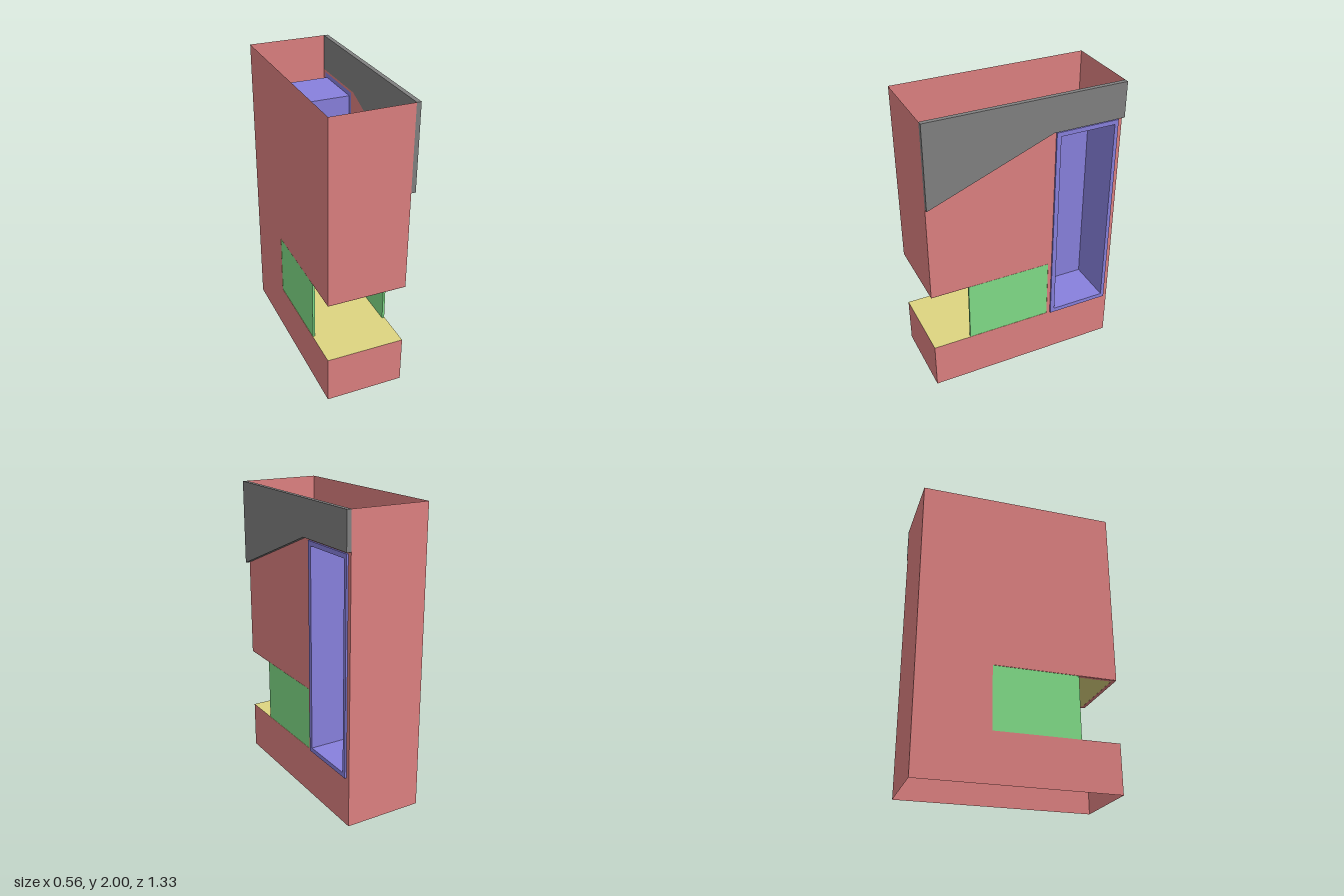
import * as THREE from 'three';

const mat = (color) => new THREE.MeshStandardMaterial({ color, side: THREE.DoubleSide });
const RED = mat(0xdd8080), YELLOW = mat(0xddd580), GREEN = mat(0x80dd88), BLUE = mat(0x8880dd), GREY = mat(0x808080);

// Main dimensions
const L = 0.25, R = -0.28, F = 0.665, B = -0.665, TOP = 2;
const W = L - R, CX = (L + R) / 2;
const NICHE = { z: -0.175, y0: 0.33, y1: 0.76 };
const LIP = 0.025;

export function createModel() {
  const model = new THREE.Group();

  const add = (name, geometry, material, x = 0, y = 0, z = 0) => {
    const mesh = new THREE.Mesh(geometry, material);
    mesh.name = name;
    mesh.position.set(x, y, z);
    model.add(mesh);
    return mesh;
  };
  const points = (list, flip = -1) => list.map(([a, b]) => new THREE.Vector2(flip * a, b));
  const rect = (z0, y0, z1, y1) => [[z0, y0], [z1, y0], [z1, y1], [z0, y1]];
  // Outlines given as (z, y), turned to face +x; a depth makes them solid
  const sideGeometry = (outline, hole, depth = 0) => {
    const shape = new THREE.Shape(points(outline));
    if (hole) shape.holes.push(new THREE.Path(points(hole)));
    const g = depth
      ? new THREE.ExtrudeGeometry(shape, { depth, bevelEnabled: false })
      : new THREE.ShapeGeometry(shape);
    return g.rotateY(Math.PI / 2);
  };
  const plane = (w, h) => new THREE.PlaneGeometry(w, h);
  const level = (w, d) => new THREE.PlaneGeometry(w, d).rotateX(-Math.PI / 2);

  // Cabinet shell: thin sheet walls, open at top and bottom
  const notch = [[F, NICHE.y0], [NICHE.z, NICHE.y0], [NICHE.z, NICHE.y1], [F, NICHE.y1]];
  const doorHole = rect(-0.61, 0.36, -0.23, 1.715);
  add('leftWall', sideGeometry([[F, 0], ...notch, [F, 1.43], [-0.17, 1.76], [B, 1.76], [B, 0]], doorHole), RED, L);
  add('rightWall', sideGeometry([[F, 0], ...notch, [F, TOP], [B, TOP], [B, 0]]), RED, R);
  add('backWall', plane(W, TOP).rotateY(Math.PI), RED, CX, TOP / 2, B);
  add('frontLowerWall', plane(W, NICHE.y0), RED, CX, NICHE.y0 / 2, F);
  add('frontUpperWall', plane(W, TOP - NICHE.y1), RED, CX, (TOP + NICHE.y1) / 2, F);

  // Serving niche: floor, back and ceiling
  const depth = F - NICHE.z, midZ = (F + NICHE.z) / 2;
  add('nicheFloor', level(W, depth), YELLOW, CX, NICHE.y0, midZ);
  add('nicheBack', plane(W, NICHE.y1 - NICHE.y0), YELLOW, CX, (NICHE.y0 + NICHE.y1) / 2, NICHE.z);
  add('nicheCeiling', level(W - 2 * LIP, depth - LIP), YELLOW, CX, NICHE.y1, midZ - LIP / 2);

  // Turned-in lip around the upper edge of the niche
  const lipY = NICHE.y1 - 0.001;
  add('frontLip', level(W, LIP), RED, CX, lipY, F - LIP / 2);
  for (const x of [R + LIP / 2, L - LIP / 2]) {
    add('sideLip', level(LIP, depth - LIP), RED, x, lipY, midZ - LIP / 2);
  }

  // Glass panes on both sides of the niche
  const paneDepth = 0.405 - NICHE.z;
  for (const x of [R + 0.01, L - 0.01]) {
    add('sidePane', new THREE.BoxGeometry(0.016, NICHE.y1 - NICHE.y0, paneDepth), GREEN,
      x, (NICHE.y0 + NICHE.y1) / 2, NICHE.z + paneDepth / 2);
  }

  // Tall recess in the left wall with a raised frame
  add('recessFrame', sideGeometry(rect(-0.635, 0.33, -0.2, 1.745), doorHole, 0.012), BLUE, L);
  const recessX = -0.055, rd = L - recessX, rx = (L + recessX) / 2, rz = -0.42, rw = 0.38, ry = 1.0375, rh = 1.355;
  add('recessBack', plane(rw, rh).rotateY(Math.PI / 2), BLUE, recessX, ry, rz);
  for (const s of [-1, 1]) {
    add('recessSide', plane(rd, rh), BLUE, rx, ry, rz + s * rw / 2);
    add('recessEnd', level(rd, rw), BLUE, rx, ry + s * rh / 2, rz);
  }

  // Sloped fascia panel closing the top of the left side
  add('fascia', sideGeometry([[F, 1.43], [-0.17, 1.76], [B, 1.76], [B, TOP], [F, TOP]], null, 0.03), GREY, L);

  return model;
}
